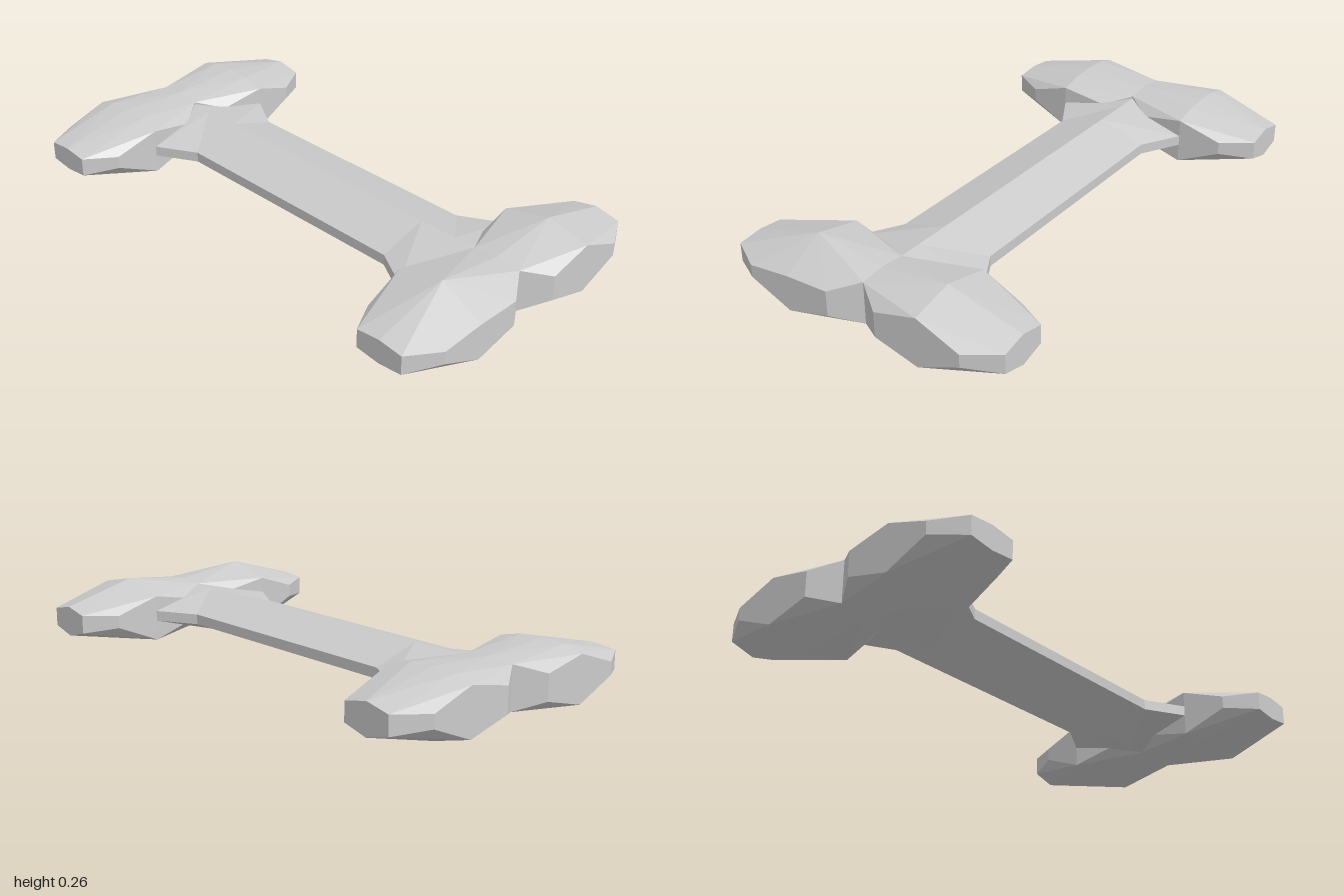
import * as THREE from 'three';
import { ConvexGeometry } from 'three/addons/geometries/ConvexGeometry.js';

const material = new THREE.MeshStandardMaterial({ color: 0xcccccc, flatShading: true });

// One faceted knob: sx, sz choose the corner; the other values are heights
function knob(name, sx, sz, { peak, base, keel, outerTop }) {
  const points = [];
  const add = (x, y, z) => points.push(new THREE.Vector3(sx * x, y, sz * z));
  // Neck (z = 0), crown (widest) and tip sections: [z, shoulder top, ridge top, shoulder bottom, ridge bottom]
  const sections = [
    [0, 0.22, 0.23, 0.06, sx < 0 ? 0.035 : 0.05],
    [0.27, outerTop > 0.2 ? 0.24 : 0.205, peak, base, keel],
    [0.555, 0.17, sz < 0 ? 0.19 : 0.18, 0.1, sz < 0 ? 0.075 : 0.09],
  ];
  for (const [z, top, ridge, bottom, low] of sections) {
    add(0.74, z === 0.27 ? 0.24 : top, z);
    add(0.93, top, z);
    add(0.74, bottom, z);
    add(0.93, bottom, z);
    add(0.835, ridge, z);
    add(0.835, low, z);
  }
  // Six-sided cheeks on the outer and inner side
  for (const [z, top, bottom] of [[0.1, 0.185, 0.09], [0.27, outerTop, 0.045], [0.435, 0.163, 0.115]]) {
    add(1, top, z);
    add(1, bottom, z);
    const x = z === 0.27 ? 0.652 : 0.67;
    add(x, z === 0.27 ? 0.22 : top, z);
    add(x, bottom, z);
  }
  const mesh = new THREE.Mesh(new ConvexGeometry(points), material);
  mesh.name = name;
  return mesh;
}

// Six-sided ridged shaft, flaring where it meets the knobs
function shaft() {
  const stations = [[-0.78, 0.27], [-0.652, 0.27], [-0.5, 0.185], [0.5, 0.185], [0.652, 0.27], [0.78, 0.27]];
  const rings = stations.map(([x, w]) => {
    const rise = 0.006 * x;
    return [[0.215, 0], [0.157, w], [0.118, w], [0.056, 0], [0.118, -w], [0.157, -w]]
      .map(([y, z]) => [x, y + rise, z]);
  });
  const positions = [];
  for (let i = 0; i < rings.length - 1; i++) {
    for (let j = 0; j < 6; j++) {
      const k = (j + 1) % 6;
      const a = rings[i][j], b = rings[i][k], c = rings[i + 1][k], d = rings[i + 1][j];
      positions.push(...a, ...b, ...c, ...a, ...c, ...d);
    }
  }
  const geometry = new THREE.BufferGeometry();
  geometry.setAttribute('position', new THREE.Float32BufferAttribute(positions, 3));
  geometry.computeVertexNormals();
  const mesh = new THREE.Mesh(geometry, material);
  mesh.name = 'shaft';
  return mesh;
}

export function createModel() {
  const group = new THREE.Group();
  group.name = 'bone';
  const left = { peak: 0.265, base: 0.03, keel: 0.025, outerTop: 0.23 };
  const right = { peak: 0.245, base: 0.025, keel: 0, outerTop: 0.22 };
  group.add(
    shaft(),
    knob('leftFrontKnob', 1, 1, { ...left, outerTop: 0.18 }),
    knob('leftBackKnob', 1, -1, left),
    knob('rightFrontKnob', -1, 1, right),
    knob('rightBackKnob', -1, -1, right),
  );
  return group;
}
